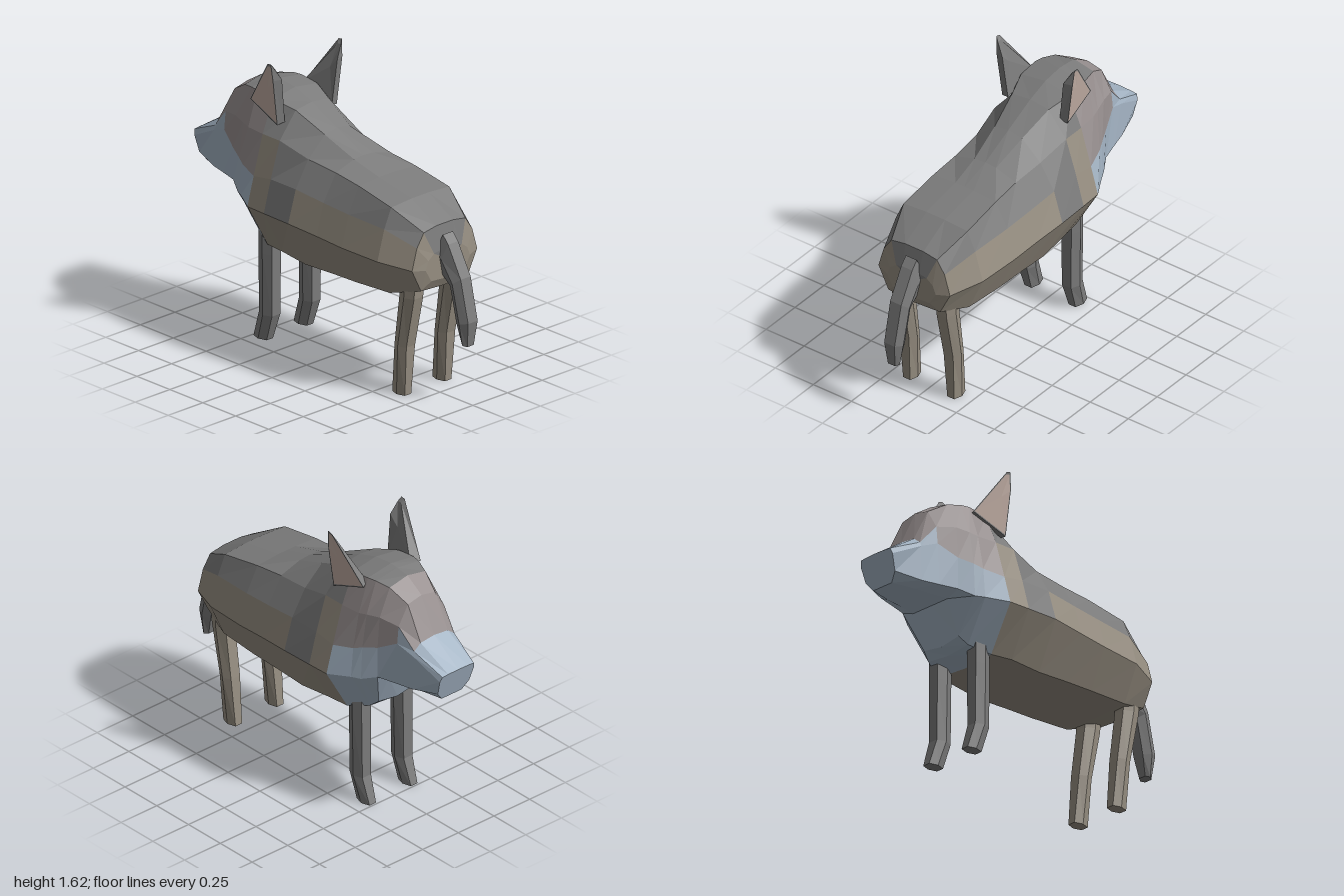
import * as THREE from 'three';

const COLORS = {
  grey: 0x7c7c7c, brown: 0x978f82, blue: 0xa4b4c4, mauve: 0x989090, pink: 0xc4b0a6,
};
const materials = {};
for (const key in COLORS) {
  materials[key] = new THREE.MeshStandardMaterial({ color: COLORS[key], flatShading: true });
}

const V = (x, y, z) => new THREE.Vector3(x, y, z);

// Closed loft through rings of points; colorOf(i, j) picks the colour of each panel
// (i = -1 for the first cap, rings.length - 1 for the last cap)
function loft(name, rings, colorOf) {
  const tris = [];
  const n = rings[0].length, last = rings.length - 1;
  for (let i = 0; i < last; i++) {
    for (let j = 0; j < n; j++) {
      const k = (j + 1) % n, key = colorOf(i, j);
      const a = rings[i][j], b = rings[i][k], c = rings[i + 1][k], d = rings[i + 1][j];
      tris.push([a, b, c, key], [a, c, d, key]);
    }
  }
  for (const [ring, i] of [[rings[0], -1], [rings[last], last]]) {
    const mid = ring.reduce((s, p) => s.add(p), V(0, 0, 0)).divideScalar(n);
    for (let j = 0; j < n; j++) {
      const a = ring[j], b = ring[(j + 1) % n], key = colorOf(i, j);
      tris.push(i < 0 ? [mid, b, a, key] : [mid, a, b, key]);
    }
  }
  // turn all faces outward
  const volume = tris.reduce((s, [a, b, c]) => s + a.dot(b.clone().cross(c)), 0);
  const group = new THREE.Group();
  group.name = name;
  for (const key in COLORS) {
    const points = tris.filter((t) => t[3] === key)
      .flatMap(([a, b, c]) => (volume < 0 ? [a, c, b] : [a, b, c]));
    if (!points.length) continue;
    const geometry = new THREE.BufferGeometry().setFromPoints(points);
    geometry.computeVertexNormals();
    const mesh = new THREE.Mesh(geometry, materials[key]);
    mesh.name = `${name} ${key}`;
    group.add(mesh);
  }
  return group;
}

// Mirrored body section: x, top y, five (y, z) pairs down the side, bottom y, slant
function section([x, top, ...rest]) {
  const half = [];
  for (let i = 0; i < 5; i++) half.push([rest[2 * i], rest[2 * i + 1]]);
  const bottom = rest[10], slant = rest[11] || 0;
  const outline = [[top, 0], ...half, [bottom, 0], ...half.slice().reverse().map(([y, z]) => [y, -z])];
  return outline.map(([y, z]) => V(x + slant * (top - y), y, z));
}

// Six-sided limb through stations: centre x, y, half depth vector x, y, half width
function limb(name, stations, zc, color) {
  const hex = [[-1, 0.6], [0, 1], [1, 0.6], [1, -0.6], [0, -1], [-1, -0.6]];
  const rings = stations.map(([x, y, hx, hy, hz]) =>
    hex.map(([u, w]) => V(x + u * hx, y + u * hy, zc + w * hz)));
  return loft(name, rings, () => color);
}

const TRUNK = [
  [0.81, 0.84, 0.84, 0.05, 0.83, 0.1, 0.8, 0.14, 0.75, 0.16, 0.68, 0.12, 0.67],
  [0.785, 0.97, 0.97, 0.06, 0.955, 0.15, 0.88, 0.2, 0.76, 0.235, 0.63, 0.17, 0.62],
  [0.6, 1.07, 1.07, 0.06, 1.06, 0.21, 0.95, 0.26, 0.78, 0.31, 0.58, 0.22, 0.57],
  [0.35, 1.115, 1.115, 0.06, 1.105, 0.205, 0.965, 0.28, 0.79, 0.33, 0.57, 0.23, 0.565],
  [0.17, 1.17, 1.165, 0.07, 1.125, 0.2, 0.98, 0.29, 0.805, 0.34, 0.565, 0.23, 0.56],
  [-0.03, 1.265, 1.25, 0.09, 1.145, 0.21, 1.0, 0.3, 0.82, 0.355, 0.555, 0.23, 0.55],
  [-0.22, 1.355, 1.34, 0.12, 1.2, 0.235, 1.0, 0.3, 0.82, 0.35, 0.57, 0.22, 0.56],
];
const HEAD = [
  [-0.35, 1.4, 1.375, 0.16, 1.2, 0.235, 0.98, 0.3, 0.82, 0.345, 0.565, 0.2, 0.55],
  [-0.47, 1.415, 1.39, 0.16, 1.2, 0.225, 1.0, 0.265, 0.83, 0.28, 0.6, 0.15, 0.585],
  [-0.52, 1.41, 1.39, 0.15, 1.21, 0.215, 1.02, 0.245, 0.83, 0.255, 0.64, 0.13, 0.62],
  [-0.6, 1.4, 1.375, 0.125, 1.22, 0.195, 1.04, 0.21, 0.86, 0.21, 0.83, 0.13, 0.83],
  [-0.71, 1.33, 1.31, 0.095, 1.2, 0.16, 1.1, 0.17, 0.86, 0.18, 0.83, 0.11, 0.83],
  [-0.81, 1.13, 1.12, 0.095, 1.085, 0.14, 1.06, 0.15, 0.86, 0.155, 0.83, 0.1, 0.83],
  [-1, 1.005, 1.003, 0.07, 1.0, 0.11, 0.97, 0.12, 0.88, 0.11, 0.83, 0.07, 0.83, 0.3],
];

function bodyColor(i, j) {
  const band = j < 6 ? j : 11 - j; // 0 = along the spine, 5 = along the belly
  if (i < 1) return band < 2 ? 'grey' : 'brown';
  if (i < 5) return band < 3 ? 'grey' : 'brown'; // back and flanks
  if (i === 5) return band < 4 ? 'grey' : 'brown'; // shoulder
  if (i === 6) return band < 2 ? 'grey' : 'brown'; // neck
  if (i < 10) return band < 1 ? 'grey' : band < 3 ? 'mauve' : 'blue'; // head and chest
  if (i < 12) return band < (i === 10 ? 3 : 2) ? 'mauve' : 'blue'; // brow
  return 'blue'; // muzzle
}

// Thin triangular ear, hollow side facing outward
function ear(name, s) {
  const outer = [V(-0.48, 1.35, 0.2 * s), V(-0.26, 1.27, 0.215 * s), V(-0.255, 1.53, 0.25 * s),
    V(-0.265, 1.625, 0.257 * s), V(-0.29, 1.62, 0.257 * s)];
  const inner = [V(-0.45, 1.36, 0.15 * s), V(-0.25, 1.28, 0.17 * s), V(-0.24, 1.53, 0.2 * s),
    V(-0.255, 1.6, 0.24 * s), V(-0.28, 1.6, 0.24 * s)];
  const mid = V(-0.33, 1.41, 0.219 * s);
  const lining = outer.map((p) => p.clone().lerp(mid, 0.07));
  return loft(name, [inner, outer, lining], (i) => (i === 2 ? 'pink' : 'grey'));
}

export function createModel() {
  const model = new THREE.Group();
  model.name = 'animal';

  model.add(loft('body', [...TRUNK, ...HEAD].map(section), bodyColor));

  for (const [side, s] of [['left', -1], ['right', 1]]) {
    model.add(ear(`${side}Ear`, s));
    model.add(limb(`${side}FrontLeg`, [
      [-0.39, 0.66, 0.05, 0, 0.055], [-0.39, 0.5, 0.05, 0, 0.055],
      [-0.392, 0.15, 0.05, 0, 0.05], [-0.44, 0, 0.05, 0, 0.038],
    ], 0.145 * s, 'grey'));
    model.add(limb(`${side}HindLeg`, [
      [0.69, 0.7, 0.06, 0, 0.055], [0.685, 0.57, 0.055, 0, 0.055],
      [0.635, 0.28, 0.045, 0, 0.052], [0.612, 0, 0.048, 0, 0.038],
    ], 0.145 * s, 'brown'));
  }

  // drooping tail
  model.add(limb('tail', [
    [0.78, 0.83, 0.03, 0.09, 0.06], [0.82, 0.79, 0.03, 0.085, 0.06],
    [0.905, 0.675, 0.04, 0.03, 0.06], [0.955, 0.46, 0.045, 0.01, 0.057],
    [0.96, 0.335, 0.022, -0.004, 0.038],
  ], 0, 'grey'));

  return model;
}
